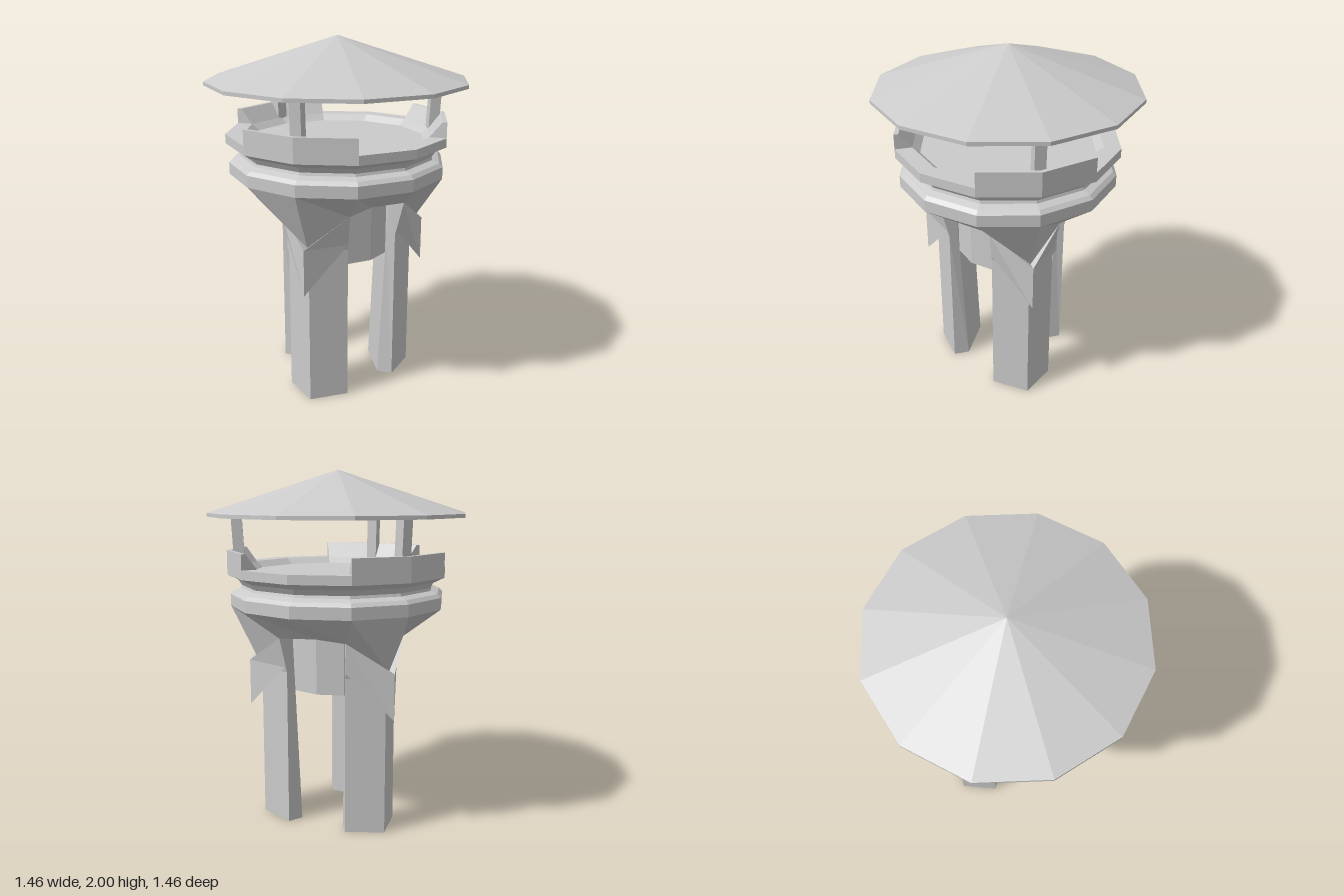
import * as THREE from 'three';

const material = new THREE.MeshStandardMaterial({ color: 0xcccccc, flatShading: true });
const SIDES = 12;

// Point at an angle (degrees from the front), radius and height
const polar = (deg, r, y) => {
  const a = THREE.MathUtils.degToRad(deg);
  return [Math.sin(a) * r, y, Math.cos(a) * r];
};

// Joins closed rings from bottom to top; capped ends fan out from the first point
function skin(rings, capped = true) {
  const pos = [];
  const tri = (a, b, c) => pos.push(...a, ...b, ...c);
  const n = rings[0].length;
  for (let k = 0; k < rings.length - 1; k++) {
    for (let i = 0; i < n; i++) {
      const j = (i + 1) % n, lo = rings[k], hi = rings[k + 1];
      tri(lo[i], lo[j], hi[i]);
      tri(hi[j], hi[i], lo[j]);
    }
  }
  if (capped) {
    const lo = rings[0], hi = rings[rings.length - 1];
    for (let i = 1; i < n - 1; i++) {
      tri(lo[0], lo[i + 1], lo[i]);
      tri(hi[0], hi[i], hi[i + 1]);
    }
  }
  const geo = new THREE.BufferGeometry();
  geo.setAttribute('position', new THREE.Float32BufferAttribute(pos, 3));
  geo.computeVertexNormals();
  return geo;
}

function part(parent, name, geometry) {
  const mesh = new THREE.Mesh(geometry, material);
  mesh.name = name;
  parent.add(mesh);
  return mesh;
}

const lathe = (pts) =>
  new THREE.LatheGeometry(pts.map(([r, y]) => new THREE.Vector2(r, y)), SIDES);

// Five-sided leg section: outer ridge, two sides, two inner corners
const legRing = (ridge, ridgeY, sideX, sideZ, innerX, innerZ, y) => [
  [0, ridgeY, ridge], [sideX, y, sideZ], [innerX, y, innerZ],
  [-innerX, y, innerZ], [-sideX, y, sideZ],
];

// Parapet section: a bent strip between two radii, 60 degrees wide
const wallRing = (outer, inner, y) => [
  polar(0, outer, y), polar(30, outer, y), polar(30, inner, y),
  polar(0, inner, y), polar(-30, inner, y), polar(-30, outer, y),
];

export function createModel() {
  const model = new THREE.Group();
  model.name = 'watchtower';

  // Roof: shallow cone on a thin rim
  part(model, 'roof', lathe([[0, 1.745], [0.73, 1.745], [0.73, 1.765], [0, 2]]));

  // Moulded belt, gallery ledge and sunken floor
  part(model, 'gallery', lathe([
    [0.61, 1.25], [0.61, 1.315], [0.59, 1.335], [0.55, 1.35], [0.545, 1.365],
    [0.565, 1.395], [0.625, 1.425], [0.625, 1.475], [0.53, 1.475],
    [0.49, 1.44], [0, 1.44],
  ]));

  // Flared underside, drawn down to a point above each leg
  const low = [], high = [];
  for (let i = 0; i < SIDES; i++) {
    const [r, y] = [[0.46, 0.93], [0.4, 1.09], [0.295, 1.09], [0.4, 1.09]][i % 4];
    low.push(polar(i * 30, r, y));
    high.push(polar(i * 30, 0.61, 1.25));
  }
  part(model, 'flaredUnderside', skin([low, high], false));

  // Central drum
  const drum = part(model, 'drum', new THREE.CylinderGeometry(0.295, 0.295, 0.36, SIDES));
  drum.position.y = 0.96;

  const legGeo = skin([
    legRing(0.44, 0, 0.175, 0.305, 0.13, 0.225, 0),
    legRing(0.44, 0.89, 0.175, 0.305, 0.143, 0.262, 0.89),
    legRing(0.46, 0.93, 0.2, 0.346, 0.15, 0.27, 1.09),
  ]);
  const chevronGeo = skin([
    [[0, 0.67, 0.51], [0.18, 0.92, 0.315], [0, 0.77, 0.43], [-0.18, 0.92, 0.315]],
    [[0, 0.93, 0.51], [0.2, 1.09, 0.346], [0, 0.93, 0.43], [-0.2, 1.09, 0.346]],
  ]);
  const wallGeo = skin([wallRing(0.625, 0.53, 1.475), wallRing(0.625, 0.6, 1.56)]);
  const postGeo = new THREE.BoxGeometry(0.06, 0.31, 0.06);

  // Three identical bays: leg, chevron bracket, parapet and roof post
  for (let i = 0; i < 3; i++) {
    const bay = new THREE.Group();
    bay.name = ['frontBay', 'leftBay', 'rightBay'][i];
    bay.rotation.y = (i * Math.PI * 2) / 3;
    part(bay, 'leg', legGeo);
    part(bay, 'chevronBracket', chevronGeo);
    part(bay, 'parapet', wallGeo);
    const post = part(bay, 'roofPost', postGeo);
    post.position.set(0, 1.6, 0.56);
    post.rotation.x = 0.05;
    model.add(bay);
  }
  return model;
}
